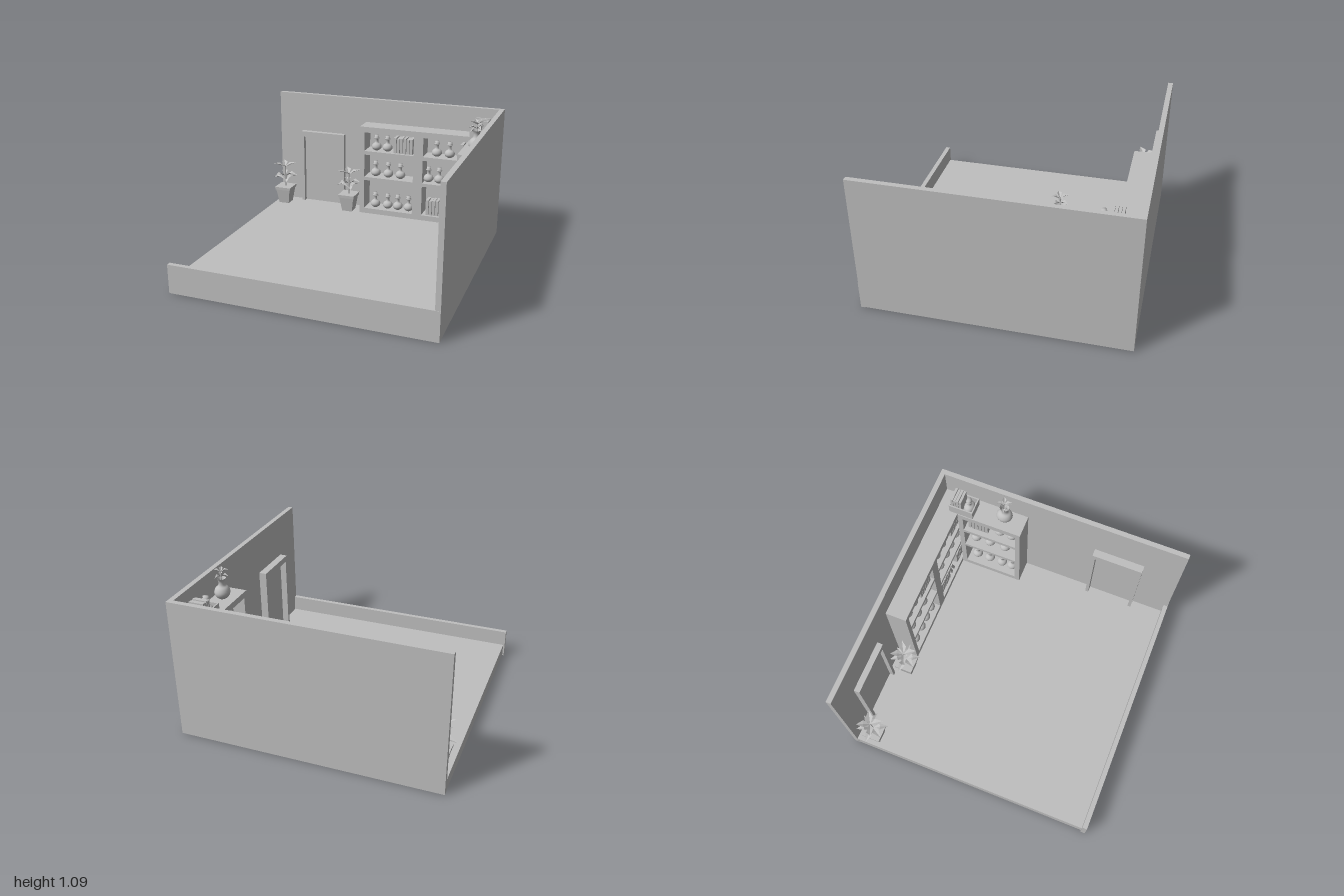
import * as THREE from 'three';

const grey = new THREE.MeshStandardMaterial({ color: 0xbfbfbf, side: THREE.DoubleSide });
grey.name = 'plain grey';

function add(parent, name, geometry, x = 0, y = 0, z = 0) {
  const mesh = new THREE.Mesh(geometry, grey);
  mesh.name = name;
  mesh.position.set(x, y, z);
  parent.add(mesh);
  return mesh;
}

// Box given by its minimum and maximum corners
function box(parent, name, x0, x1, y0, y1, z0, z1) {
  return add(parent, name, new THREE.BoxGeometry(x1 - x0, y1 - y0, z1 - z0),
    (x0 + x1) / 2, (y0 + y1) / 2, (z0 + z1) / 2);
}

function group(parent, name, x = 0, y = 0, z = 0) {
  const g = new THREE.Group();
  g.name = name;
  g.position.set(x, y, z);
  parent.add(g);
  return g;
}

// Round flask with a thin neck, a collar and a stopper
const flaskCurve = new THREE.SplineCurve([
  [0.018, 0], [0.036, 0.014], [0.042, 0.032], [0.034, 0.053], [0.016, 0.066], [0.013, 0.08],
].map(([r, y]) => new THREE.Vector2(r, y)));
const flaskGeometry = new THREE.LatheGeometry([
  new THREE.Vector2(0, 0), ...flaskCurve.getPoints(14),
  ...[[0.014, 0.101], [0.023, 0.103], [0.023, 0.109], [0.016, 0.111], [0.018, 0.129], [0, 0.129]]
    .map(([r, y]) => new THREE.Vector2(r, y)),
], 18);

function flasks(parent, xs, y, z) {
  xs.forEach(x => add(parent, 'flask', flaskGeometry, x, y, z));
}

function books(parent, x, count, y, z, height = 0.13) {
  for (let i = 0; i < count; i++) {
    const h = height - (i % 3 === 1 ? 0.006 : 0);
    box(parent, 'book', x + i * 0.028, x + i * 0.028 + 0.023, y, y + h, z - 0.045, z + 0.045);
  }
}

// Open shelf unit, back at z = 0 and facing +z, standing on the floor
const ROWS = [0.145, 0.428, 0.658];
function shelfUnit(parent, name, x0, x1, depth) {
  const g = group(parent, name);
  const rim = 0.04, a = x0 + rim, b = x1 - rim;
  box(g, 'shelfSide', x0, a, 0.1, 0.868, 0, depth);
  box(g, 'shelfSide', b, x1, 0.1, 0.868, 0, depth);
  box(g, 'shelfBack', a, b, 0.1, 0.868, 0, 0.01);
  [[0.1, 0.145], [0.4, 0.428], [0.626, 0.658], [0.82, 0.868]]
    .forEach(([lo, hi]) => box(g, 'shelfBoard', a, b, lo, hi, 0.01, depth));
  return g;
}

// Door with its frame, back at z = 0 and facing +z
function door(parent, name, depth) {
  const g = group(parent, name);
  box(g, 'doorJamb', -0.2, -0.175, 0.1, 0.742, 0, depth);
  box(g, 'doorJamb', 0.175, 0.2, 0.1, 0.742, 0, depth);
  box(g, 'doorHeader', -0.175, 0.175, 0.694, 0.742, 0, depth);
  box(g, 'doorPanel', -0.175, 0.175, 0.1, 0.694, 0, 0.009);
  return g;
}

// Folded pointed leaf growing along +z
function leafGeometry(length, width, lift, droop) {
  const root = [0, 0, 0], mid = [0, lift, length * 0.5], tip = [0, lift + droop, length];
  const left = [-width, lift + 0.012, length * 0.45], right = [width, lift + 0.012, length * 0.45];
  const geometry = new THREE.BufferGeometry();
  geometry.setAttribute('position', new THREE.Float32BufferAttribute([
    root, left, mid, left, tip, mid, root, mid, right, mid, tip, right].flat(), 3));
  geometry.computeVertexNormals();
  return geometry;
}

// Tiers of leaves: height, count, length, lift, droop, first angle
function leaves(parent, tiers, width) {
  tiers.forEach(([y, count, length, lift, droop, start]) => {
    for (let i = 0; i < count; i++) {
      const leaf = add(parent, 'leaf', leafGeometry(length, width, lift, droop), 0, y, 0);
      leaf.rotation.y = start + i * Math.PI * 2 / count;
    }
  });
}

function pottedPlant(parent, x, z) {
  const g = group(parent, 'pottedPlant', x, 0.1, z);
  const pot = (name, top, bottom, height, y) => {
    const geometry = new THREE.CylinderGeometry(top * Math.SQRT2, bottom * Math.SQRT2, height, 4)
      .rotateY(Math.PI / 4).toNonIndexed();
    geometry.computeVertexNormals();
    add(g, name, geometry, 0, y, 0);
  };
  pot('pot', 0.064, 0.045, 0.125, 0.0625);
  pot('potRim', 0.072, 0.07, 0.025, 0.1375);
  add(g, 'stem', new THREE.CylinderGeometry(0.006, 0.008, 0.19, 6), 0, 0.24, 0);
  leaves(g, [
    [0.2, 3, 0.12, 0.028, -0.014, -1.6],
    [0.24, 3, 0.115, 0.03, -0.012, -0.5],
    [0.325, 4, 0.1, 0.022, 0.014, 0.5],
  ], 0.027);
}

export function createModel() {
  const model = new THREE.Group();
  model.name = 'shopRoom';

  // Floor and walls
  box(model, 'floor', -0.97, 0.957, 0.006, 0.1, -0.942, 0.942);
  box(model, 'backWall', -0.972, 0.992, 0.004, 1.07, -0.978, -0.94);
  box(model, 'rightWall', 0.955, 0.993, 0.004, 1.07, -0.977, 0.97);
  box(model, 'frontCurb', -0.982, 0.993, 0, 0.222, 0.938, 0.973);

  // Doors in the back and right walls
  door(model, 'backDoor', 0.045).position.set(-0.56, 0, -0.94);
  const sideDoor = door(model, 'sideDoor', 0.06);
  sideDoor.position.set(0.955, 0, 0.488);
  sideDoor.rotation.y = -Math.PI / 2;

  // Two shelf units along the back wall
  const leftUnit = shelfUnit(model, 'leftShelfUnit', -0.17, 0.34, 0.16);
  leftUnit.position.z = -0.94;
  flasks(leftUnit, [-0.048, 0.064, 0.155, 0.25], ROWS[0], 0.09);
  flasks(leftUnit, [-0.048, 0.064, 0.171], ROWS[1], 0.09);
  flasks(leftUnit, [-0.043, 0.053], ROWS[2], 0.09);
  books(leftUnit, 0.118, 6, ROWS[2], 0.09);

  const rightUnit = shelfUnit(model, 'rightShelfUnit', 0.34, 0.955, 0.16);
  rightUnit.position.z = -0.94;
  books(rightUnit, 0.412, 6, ROWS[0], 0.09);
  [0.605, 0.642].forEach((x, i) => {
    const book = add(rightUnit, 'leaningBook', new THREE.BoxGeometry(0.023, 0.125, 0.09), x, ROWS[0] + 0.068, 0.09);
    book.rotation.z = 0.25 + i * 0.1;
  });
  books(rightUnit, 0.72, 5, ROWS[0], 0.09);
  flasks(rightUnit, [0.417, 0.508, 0.62, 0.711, 0.82], ROWS[1], 0.09);
  flasks(rightUnit, [0.48, 0.588], ROWS[2], 0.09);
  books(rightUnit, 0.685, 6, ROWS[2], 0.09);

  // Shelf unit against the right wall, facing left into the room
  const sideUnit = shelfUnit(model, 'sideShelfUnit', -0.256, 0.256, 0.178);
  sideUnit.position.set(0.955, 0, -0.521);
  sideUnit.rotation.y = -Math.PI / 2;
  flasks(sideUnit, [-0.15, -0.04, 0.07, 0.16], ROWS[0], 0.095);
  flasks(sideUnit, [-0.15, -0.03, 0.1], ROWS[1], 0.095);
  flasks(sideUnit, [0.06, 0.16], ROWS[2], 0.095);
  books(sideUnit, -0.19, 6, ROWS[2], 0.095);

  // Open crate with a flask and books
  const crate = group(model, 'crate', 0.853, 0.868, -0.75);
  box(crate, 'crateBase', -0.07, 0.07, 0, 0.014, -0.096, 0.096);
  for (const s of [-1, 1]) {
    add(crate, 'crateSide', new THREE.BoxGeometry(0.01, 0.078, 0.192), s * 0.065, 0.039, 0);
    add(crate, 'crateEnd', new THREE.BoxGeometry(0.12, 0.078, 0.01), 0, 0.039, s * 0.091);
  }
  for (let i = 0; i < 4; i++) {
    box(crate, 'crateBook', -0.055, 0.055, 0.014, 0.15 - (i % 2) * 0.006, -0.084 + i * 0.022, -0.065 + i * 0.022);
  }
  add(crate, 'crateFlask', flaskGeometry, 0, 0.014, 0.046).scale.x = 1.2;

  // Large vase with a sprig
  const vase = group(model, 'vaseWithSprig', 0.882, 0.868, -0.43);
  const vaseCurve = new THREE.SplineCurve([
    [0.03, 0], [0.05, 0.022], [0.057, 0.05], [0.046, 0.08], [0.026, 0.1], [0.023, 0.13], [0.033, 0.155],
  ].map(([r, y]) => new THREE.Vector2(r, y)));
  add(vase, 'vase', new THREE.LatheGeometry([new THREE.Vector2(0, 0), ...vaseCurve.getPoints(20)], 20)).scale.z = 1.1;
  add(vase, 'sprigStem', new THREE.CylinderGeometry(0.004, 0.004, 0.13, 6), 0, 0.145, 0);
  leaves(vase, [[0.165, 3, 0.06, 0.015, -0.008, -1.4], [0.2, 4, 0.055, 0.014, 0.008, 0.4]], 0.015);

  // Potted plants on both sides of the back door
  pottedPlant(model, -0.885, -0.81);
  pottedPlant(model, -0.282, -0.81);

  return model;
}
